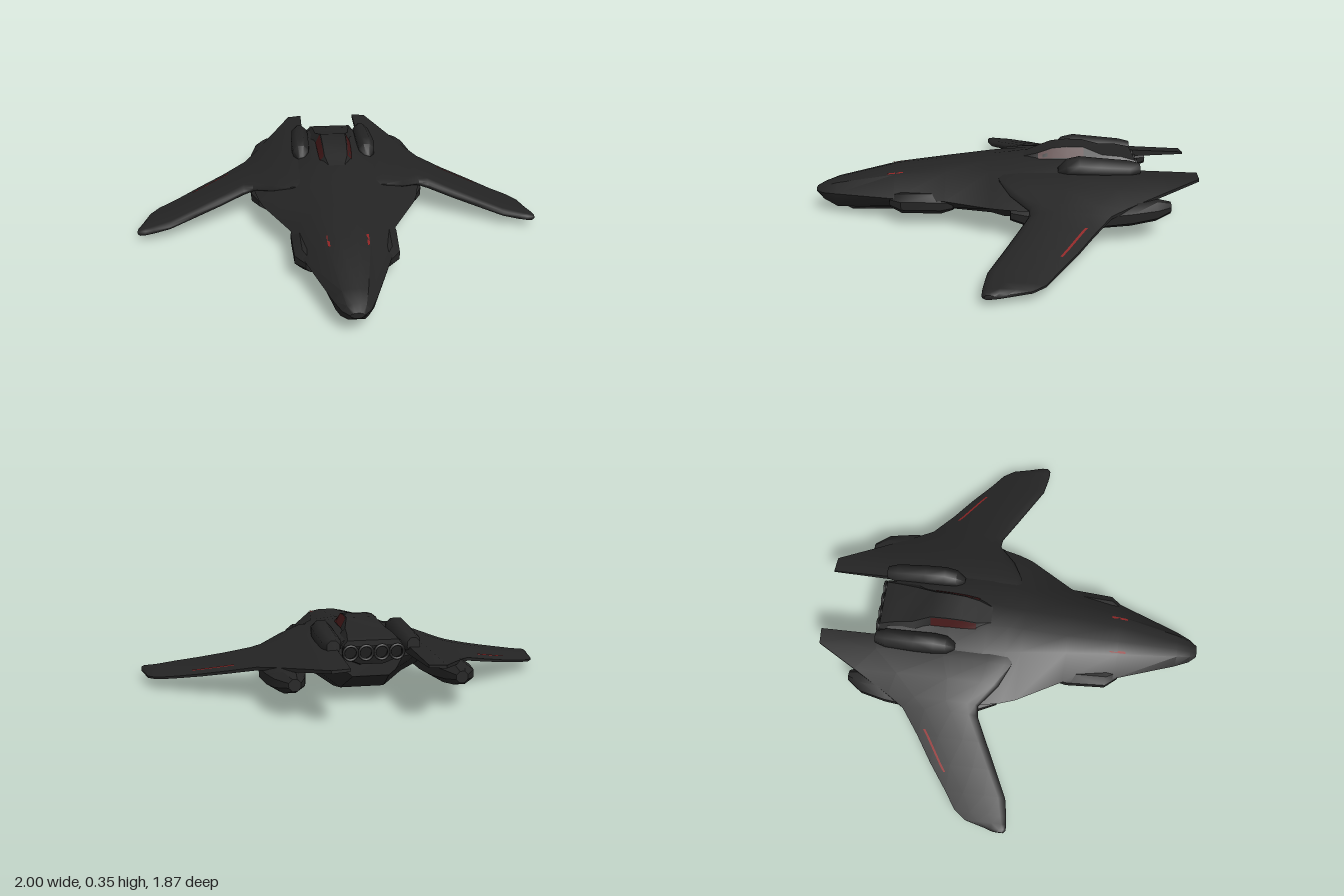
import * as THREE from 'three';
import { toCreasedNormals } from 'three/addons/utils/BufferGeometryUtils.js';

const paint = (name, color, side = THREE.FrontSide) => {
  const m = new THREE.MeshStandardMaterial({ color, side });
  m.name = name;
  return m;
};

// Joins closed rings of [x, y, z] points into a capped solid, facing outwards.
function loft(rings, crease = 0.6) {
  const n = rings[0].length, pos = rings.flat(2), idx = [];
  for (let r = 0; r < rings.length - 1; r++) {
    for (let i = 0; i < n; i++) {
      const a = r * n + i, b = r * n + (i + 1) % n;
      idx.push(a, b, b + n, a, b + n, a + n);
    }
  }
  const last = (rings.length - 1) * n;
  for (let i = 1; i < n - 1; i++) {
    idx.push(0, i + 1, i, last, last + i, last + i + 1);
  }
  const v = (k) => new THREE.Vector3().fromArray(pos, idx[k] * 3);
  let volume = 0;
  for (let k = 0; k < idx.length; k += 3) volume += v(k).dot(v(k + 1).cross(v(k + 2)));
  if (volume < 0) idx.reverse();
  const g = new THREE.BufferGeometry();
  g.setAttribute('position', new THREE.Float32BufferAttribute(pos, 3));
  g.setIndex(idx);
  return toCreasedNormals(g, crease);
}

// Open strip between two lines of points.
function strip(a, b) {
  const g = new THREE.BufferGeometry(), idx = [], n = a.length;
  for (let i = 0; i < n - 1; i++) idx.push(i, i + 1, n + i, i + 1, n + i + 1, n + i);
  g.setAttribute('position', new THREE.Float32BufferAttribute([...a, ...b].flat(), 3));
  g.setIndex(idx);
  g.computeVertexNormals();
  return g;
}

// Mirrored ring across x = 0 from a right-hand half profile, bottom to top.
const symmetric = (z, half) => [
  ...half.map(([x, y]) => [x, y, z]),
  ...half.slice().reverse().map(([x, y]) => [-x, y, z]),
];

// Ring with cut corners filling the box x0..x1, y0..y1 at z.
function chamfered(z, x0, x1, y0, y1, cut = 0.3) {
  const dx = (x1 - x0) * cut, dy = (y1 - y0) * cut;
  return [
    [x0 + dx, y0, z], [x1 - dx, y0, z], [x1, y0 + dy, z], [x1, y1 - dy, z],
    [x1 - dx, y1, z], [x0 + dx, y1, z], [x0, y1 - dy, z], [x0, y0 + dy, z],
  ];
}

// Wing stations: x, leading z, trailing z, centre y, half thickness
const WING = [
  [0.155, 0.03, -0.93, 0.243, 0.022], [0.23, 0.02, -0.925, 0.237, 0.026],
  [0.33, -0.03, -0.74, 0.203, 0.03], [0.43, -0.115, -0.56, 0.17, 0.03],
  [0.48, -0.11, -0.48, 0.154, 0.029], [0.6, -0.05, -0.39, 0.122, 0.026],
  [0.72, 0.01, -0.31, 0.094, 0.023], [0.84, 0.07, -0.22, 0.067, 0.021],
  [0.92, 0.085, -0.165, 0.053, 0.019], [0.96, 0.09, -0.11, 0.048, 0.018],
  [0.985, 0.09, -0.01, 0.047, 0.016], [0.998, 0.08, 0.03, 0.047, 0.01],
];
const CHORD = [[0, 0.15], [0.03, 0.6], [0.12, 0.9], [0.35, 1], [0.7, 0.8], [1, 0.25]];

function lerpTable(table, t) {
  let i = 0;
  while (i < table.length - 2 && t > table[i + 1][0]) i++;
  const [a, b] = [table[i], table[i + 1]], k = (t - a[0]) / (b[0] - a[0]);
  return a.map((v, j) => v + (b[j] - v) * k);
}

// Point on the wing skin at span x and chord fraction f.
function wingPoint(x, f, side, lift = 0) {
  const [, lead, trail, y, t] = lerpTable(WING, x);
  return [x, y + side * (t * lerpTable(CHORD, f)[1] + lift), lead + (trail - lead) * f];
}

export function createModel() {
  const hull = paint('charcoal hull', 0x242424);
  const dark = paint('black recess', 0x131313, THREE.DoubleSide);
  const red = paint('red marking', 0x8e2424, THREE.DoubleSide);
  const glass = paint('dark red glass', 0x421717, THREE.DoubleSide);

  const craft = new THREE.Group();
  craft.name = 'craft';
  const add = (parent, name, geometry, material) => {
    const m = new THREE.Mesh(geometry, material);
    m.name = name;
    parent.add(m);
    return m;
  };

  // Fuselage: bottom edge, lower side, chine, shoulder, crown
  const body = [
    [0.935, [[0.012, 0.1], [0.025, 0.106], [0.03, 0.114], [0.022, 0.122], [0.01, 0.125]]],
    [0.9, [[0.035, 0.07], [0.05, 0.088], [0.06, 0.112], [0.04, 0.138], [0.015, 0.144]]],
    [0.83, [[0.06, 0.04], [0.08, 0.072], [0.092, 0.118], [0.055, 0.162], [0.02, 0.168]]],
    [0.53, [[0.08, 0.04], [0.15, 0.08], [0.2, 0.135], [0.1, 0.222], [0.04, 0.235]]],
    [0.28, [[0.1, 0.045], [0.18, 0.08], [0.25, 0.14], [0.13, 0.245], [0.05, 0.26]]],
    [0.06, [[0.11, 0.025], [0.21, 0.085], [0.375, 0.155], [0.16, 0.262], [0.05, 0.28]]],
    [-0.01, [[0.11, 0.003], [0.21, 0.085], [0.4, 0.158], [0.17, 0.265], [0.05, 0.288]]],
    [-0.12, [[0.11, 0.002], [0.21, 0.085], [0.425, 0.16], [0.18, 0.268], [0.06, 0.298]]],
    [-0.3, [[0.11, 0.012], [0.21, 0.085], [0.4, 0.165], [0.18, 0.27], [0.08, 0.3]]],
    [-0.42, [[0.1, 0.035], [0.18, 0.1], [0.27, 0.18], [0.16, 0.272], [0.1, 0.3]]],
    [-0.6, [[0.08, 0.13], [0.11, 0.155], [0.14, 0.21], [0.14, 0.275], [0.1, 0.3]]],
  ];
  add(craft, 'fuselage', loft(body.map(([z, half]) => symmetric(z, half))), hull);

  // Chin housing under the nose
  add(craft, 'chinHousing', loft([
    chamfered(0.8, -0.045, 0.045, 0.035, 0.07), chamfered(0.76, -0.06, 0.06, 0.01, 0.07),
    chamfered(0.55, -0.07, 0.07, 0.01, 0.07), chamfered(0.51, -0.07, 0.07, 0.04, 0.07),
  ]), hull);

  // Canopy ridge: z, base half width, top half width, base y, top y
  const ridge = [
    [-0.1, 0.06, 0.04, 0.28, 0.296], [-0.17, 0.088, 0.058, 0.28, 0.318],
    [-0.24, 0.095, 0.062, 0.28, 0.344], [-0.31, 0.098, 0.064, 0.28, 0.351],
    [-0.39, 0.1, 0.066, 0.28, 0.349], [-0.48, 0.125, 0.09, 0.28, 0.318],
    [-0.57, 0.13, 0.1, 0.27, 0.312], [-0.64, 0.13, 0.11, 0.27, 0.295],
  ];
  add(craft, 'canopyRidge', loft(ridge.map(([z, b, t, y0, y1]) =>
    symmetric(z, [[b, y0], [t, y1]])), 0.5), hull);

  // Exhaust block and nozzles
  add(craft, 'exhaustBlock', loft([
    chamfered(-0.55, -0.13, 0.13, 0.17, 0.29), chamfered(-0.63, -0.125, 0.125, 0.19, 0.29),
  ]), dark);
  for (const x of [-0.1, -0.034, 0.034, 0.1]) {
    const nozzle = new THREE.Group();
    nozzle.name = 'nozzle';
    nozzle.position.set(x, 0.245, -0.63);
    craft.add(nozzle);
    add(nozzle, 'nozzleBell', new THREE.CylinderGeometry(0.032, 0.026, 0.05, 16, 1, true)
      .rotateX(-Math.PI / 2), dark);
    add(nozzle, 'nozzleRim', new THREE.TorusGeometry(0.03, 0.006, 6, 16)
      .translate(0, 0, -0.025), hull);
  }

  // Everything on one side; the other side is built by mirroring each point
  for (const s of [1, -1]) {
    const side = new THREE.Group();
    side.name = s > 0 ? 'leftSide' : 'rightSide';
    craft.add(side);
    const flip = (points) => points.map(([x, y, z]) => [s * x, y, z]);
    const solid = (name, rings, crease) => add(side, name, loft(rings.map(flip), crease), hull);
    const plate = (name, a, b, mat) => add(side, name, strip(flip(a), flip(b)), mat);

    // Drooping swept wing with the tail spike at its root
    const fs = CHORD.map((c) => c[0]);
    solid('wing', WING.map(([x]) => [
      ...fs.map((f) => wingPoint(x, f, 1)),
      ...fs.slice().reverse().map((f) => wingPoint(x, f, -1)),
    ]), 0.9);

    // Wing marking
    const span = [0.57, 0.6, 0.66, 0.72, 0.755];
    plate('wingMarking', span.map((x) => wingPoint(x, 0.83, 1, 0.003)),
      span.map((x) => wingPoint(x, 0.865, 1, 0.003)), red);

    // Under-wing engine pod with intake
    solid('enginePod', [
      chamfered(-0.03, 0.29, 0.4, 0.095, 0.165), chamfered(-0.12, 0.27, 0.44, 0.07, 0.175),
      chamfered(-0.42, 0.27, 0.465, 0.07, 0.18), chamfered(-0.58, 0.28, 0.45, 0.08, 0.19),
      chamfered(-0.7, 0.3, 0.425, 0.1, 0.19), chamfered(-0.77, 0.325, 0.375, 0.125, 0.175),
    ]);
    plate('intake', [[0.315, 0.11, -0.027], [0.375, 0.11, -0.027]],
      [[0.315, 0.15, -0.027], [0.375, 0.15, -0.027]], dark);

    // Bulge beside the nose
    solid('cheekBulge', [
      chamfered(0.55, 0.12, 0.19, 0.08, 0.145), chamfered(0.49, 0.12, 0.238, 0.062, 0.16),
      chamfered(0.3, 0.12, 0.25, 0.062, 0.165), chamfered(0.24, 0.12, 0.24, 0.08, 0.15),
    ]);

    // Upper nacelle flanking the canopy
    solid('upperNacelle', [
      chamfered(-0.26, 0.155, 0.19, 0.25, 0.28), chamfered(-0.3, 0.135, 0.215, 0.24, 0.322),
      chamfered(-0.36, 0.13, 0.222, 0.235, 0.335), chamfered(-0.46, 0.13, 0.222, 0.235, 0.325),
      chamfered(-0.6, 0.13, 0.215, 0.235, 0.312), chamfered(-0.65, 0.145, 0.2, 0.245, 0.3),
    ], 0.9);

    // Canopy side window lying on the ridge flank
    const pane = ridge.slice(1, 5), at = (k) => pane.map(([z, b, t, y0, y1]) =>
      [b + (t - b) * k + 0.003, y0 + (y1 - y0) * k + 0.001, z]);
    plate('canopyWindow', at(0.3), at(0.97), glass);

    // Small nose marking on the shoulder
    plate('noseMarking', [[0.082, 0.221, 0.57], [0.084, 0.23, 0.49]],
      [[0.092, 0.219, 0.57], [0.095, 0.228, 0.49]], red);
  }

  // The craft sits at a very slight yaw
  craft.rotation.y = -0.03;
  const model = new THREE.Group();
  model.name = 'model';
  model.add(craft);
  return model;
}
